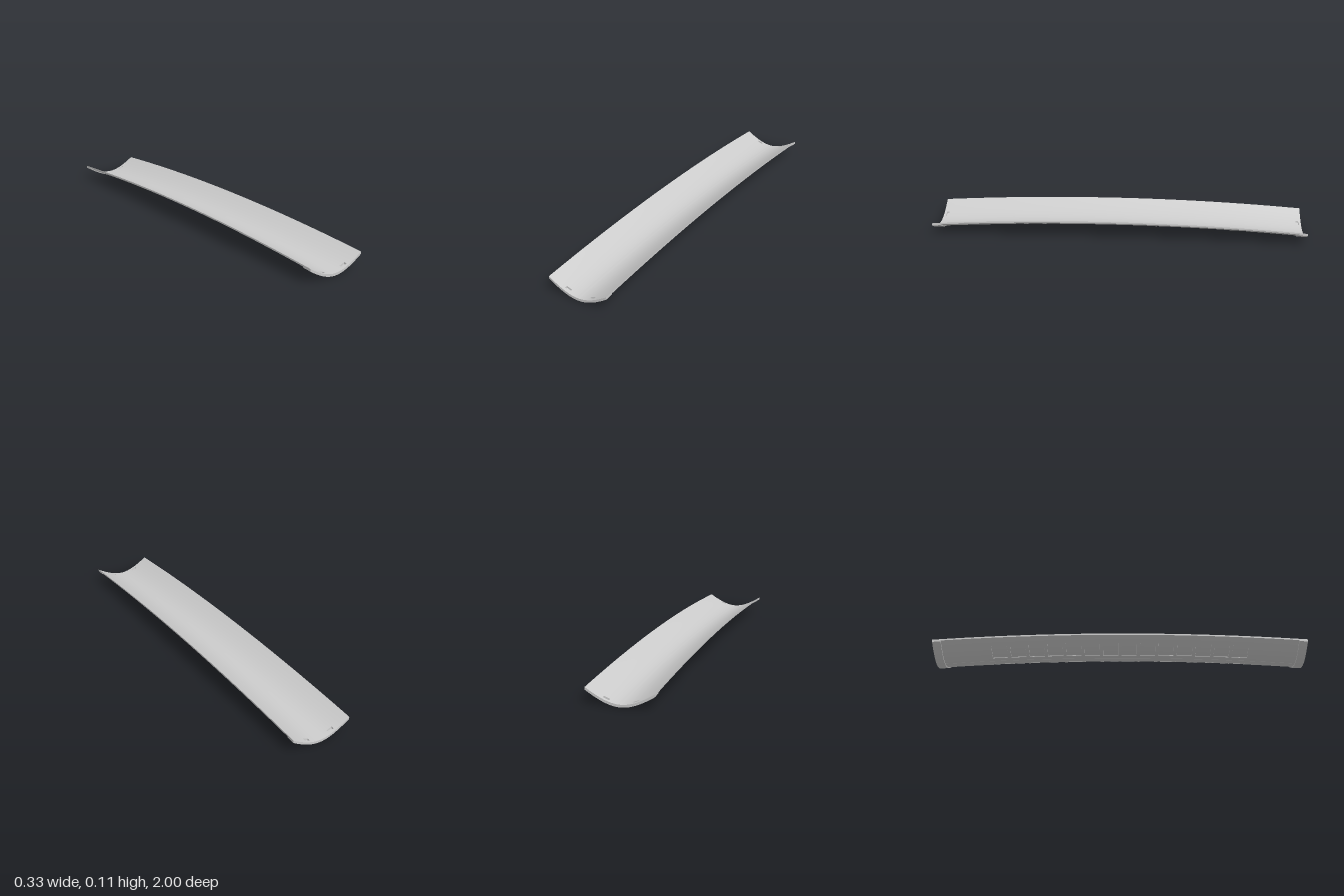
import * as THREE from 'three';
import { toCreasedNormals } from 'three/addons/utils/BufferGeometryUtils.js';

const HALF_W = 0.164, HALF_L = 1, EPS = 0.0004;
const SKIN = 0.008, LIP = 0.013, LIP_START = 0.955;
const POCKET = { x0: 0.035, x1: 0.118, count: 14, pitch: 0.1, width: 0.082, depth: 0.003 };
const SLOT = { x0: 0.056, x1: 0.084, z0: 0.972, z1: 0.986, depth: 0.009 };
const RIB = 0.006;

// rounded trough across the width, gentle arch along the length
const trough = x => Math.sqrt(0.01457 + 0.7316 * x * x) - 0.1207;
const baseY = (x, z) => trough(x) + 0.036 * (1 - z * z) + LIP;

// top face: two slots sunk into each end
function topY(x, z) {
  const ax = Math.abs(x), az = Math.abs(z);
  const inSlot = ax > SLOT.x0 && ax < SLOT.x1 && az > SLOT.z0 && az < SLOT.z1;
  return baseY(x, z) - (inSlot ? SLOT.depth : 0);
}

// underside: end lips, centre rib and a row of pockets on each side
function bottomY(x, z) {
  const ax = Math.abs(x), az = Math.abs(z);
  let t = SKIN;
  if (az > LIP_START) t = LIP;
  else if (ax < RIB) t += 0.001;
  else if (ax > POCKET.x0 && ax < POCKET.x1 && az < POCKET.count * POCKET.pitch / 2) {
    const f = az % POCKET.pitch - POCKET.pitch / 2;
    if (Math.abs(f) < POCKET.width / 2) t -= POCKET.depth;
  }
  return baseY(x, z) - t;
}

// even stations plus a close pair at every step, mirrored about zero
function stations(half, steps, n) {
  const s = [0];
  for (let i = 1; i <= n; i++) s.push(half * i / n);
  for (const e of steps) s.push(e - EPS, e + EPS);
  const all = [...s, ...s.map(v => -v)].sort((a, b) => a - b);
  return all.filter((v, i) => i === 0 || v - all[i - 1] > 1e-6);
}

function panelGeometry() {
  const zSteps = [LIP_START, SLOT.z0, SLOT.z1];
  for (let i = 0; i < POCKET.count / 2; i++) {
    const c = (i + 0.5) * POCKET.pitch;
    zSteps.push(c - POCKET.width / 2, c + POCKET.width / 2);
  }
  const xs = stations(HALF_W, [RIB, POCKET.x0, POCKET.x1, SLOT.x0, SLOT.x1], 14);
  const zs = stations(HALF_L, zSteps, 20);
  const nx = xs.length, nz = zs.length, pos = [], idx = [];
  for (const height of [topY, bottomY])
    for (const z of zs) for (const x of xs) pos.push(x, height(x, z), z);
  const top = (i, j) => j * nx + i;
  const bot = (i, j) => nx * nz + j * nx + i;
  const quad = (a, b, c, d) => idx.push(a, b, c, a, c, d);
  for (let j = 0; j < nz - 1; j++) {
    for (let i = 0; i < nx - 1; i++) {
      quad(top(i, j), top(i, j + 1), top(i + 1, j + 1), top(i + 1, j));
      quad(bot(i, j), bot(i + 1, j), bot(i + 1, j + 1), bot(i, j + 1));
    }
    // long side edges
    const r = nx - 1;
    quad(bot(r, j), top(r, j), top(r, j + 1), bot(r, j + 1));
    quad(bot(0, j + 1), top(0, j + 1), top(0, j), bot(0, j));
  }
  // end edges
  for (let i = 0; i < nx - 1; i++) {
    const e = nz - 1;
    quad(bot(i, e), bot(i + 1, e), top(i + 1, e), top(i, e));
    quad(bot(i + 1, 0), bot(i, 0), top(i, 0), top(i + 1, 0));
  }
  const g = new THREE.BufferGeometry();
  g.setAttribute('position', new THREE.Float32BufferAttribute(pos, 3));
  g.setIndex(idx);
  return toCreasedNormals(g, 0.5);
}

export function createModel() {
  const group = new THREE.Group();
  group.name = 'archedTroughPanel';
  const panel = new THREE.Mesh(panelGeometry(), new THREE.MeshStandardMaterial({ color: 0xcccccc }));
  panel.name = 'panel';
  group.add(panel);
  return group;
}
